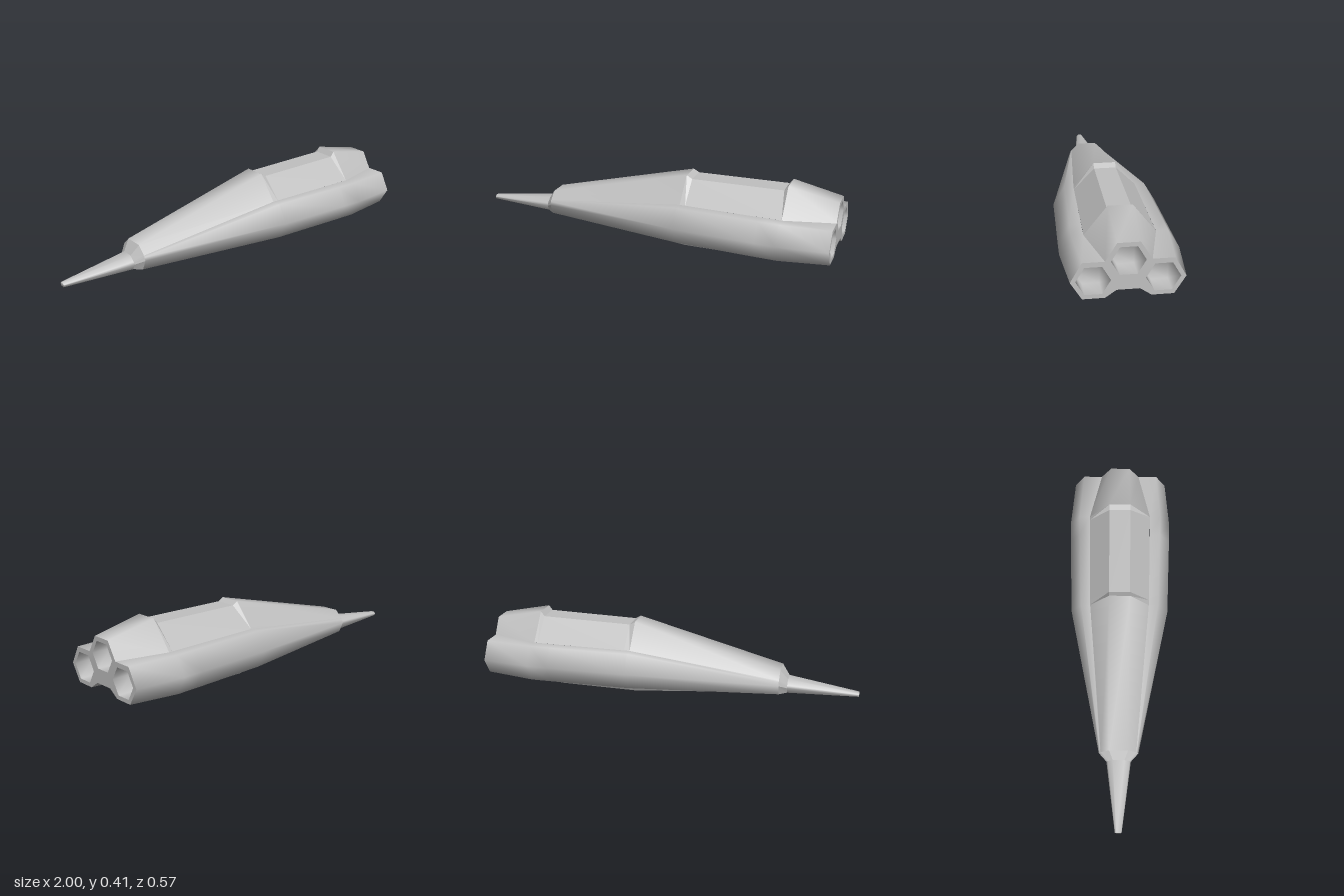
import * as THREE from 'three';

const hull = new THREE.MeshStandardMaterial({ color: 0xc0c0c0 });
hull.name = 'hull grey';

// Surface through cross-sections [x, [[z, y], ...]] that run along +x
function loft(name, sections, { flat = false, closed = false, capStart = false } = {}) {
  const n = sections[0][1].length, pos = [], idx = [];
  for (const [x, pts] of sections) for (const [z, y] of pts) pos.push(x, y, z);
  for (let i = 0; i < sections.length - 1; i++) {
    for (let j = 0; j < (closed ? n : n - 1); j++) {
      const k = (j + 1) % n, a = i * n + j, b = i * n + k;
      idx.push(a, b, b + n, a, b + n, a + n);
    }
  }
  if (capStart) for (let j = 1; j < n - 1; j++) idx.push(0, j + 1, j);
  let g = new THREE.BufferGeometry();
  g.setAttribute('position', new THREE.Float32BufferAttribute(pos, 3));
  g.setIndex(idx);
  if (flat) g = g.toNonIndexed();
  g.computeVertexNormals();
  const mesh = new THREE.Mesh(g, hull);
  mesh.name = name;
  return mesh;
}

const flip = pts => pts.map(([z, y]) => [-z, y]).reverse();

// Half sections: 0 ridge, 1 shoulder, 2 pod top, 3 pod side, 4 pod bottom, 5 keel root, 6 keel foot
const FRONT = [[.05, .19], [.093, .148], [.098, .14], [.105, .122], [.08, .066], [.06, .064], [.045, .062]];
const STATIONS = [
  [-.59, FRONT],
  [.2, [[.056, .39], [.16, .262], [.21, .262], [.266, .167], [.212, .07], [.11, .064], [.077, 0]]],
  [.63, [[.057, .4], [.168, .262], [.225, .262], [.281, .167], [.225, .068], [.112, .063], [.077, 0]]],
  [.74, [[.058, .405], [.17, .262], [.228, .262], [.284, .167], [.228, .068], [.112, .065], [.07, .035]]],
  [1, [[.052, .35], [.105, .262], [.207, .262], [.26, .167], [.207, .08], [.105, .08], [.052, .117]]],
];
const fullRing = half => [...flip(half).slice(-1), ...half, ...flip(half).slice(0, -1)];

const hexagon = (z, y, r) => Array.from({ length: 6 }, (_, i) => {
  const a = i * Math.PI / 3;
  return [z + r * Math.cos(a), y + r * Math.sin(a)];
});

// Hexagonal exhaust recess with a flat floor
function nozzle(z, y, r, depth) {
  const pos = [], idx = [];
  for (const x of [1, 1 - depth]) for (const [pz, py] of hexagon(z, y, r)) pos.push(x, py, pz);
  for (let j = 0; j < 6; j++) {
    const k = (j + 1) % 6;
    idx.push(j, j + 6, k + 6, j, k + 6, k);
  }
  idx.push(6, 10, 8, 6, 8, 7, 8, 10, 9, 10, 6, 11);
  const g = new THREE.BufferGeometry();
  g.setAttribute('position', new THREE.Float32BufferAttribute(pos, 3));
  g.setIndex(idx);
  g.computeVertexNormals();
  const mesh = new THREE.Mesh(g, hull);
  mesh.name = 'exhaustNozzle';
  return mesh;
}

export function createModel() {
  const model = new THREE.Group();
  model.name = 'spacecraft';

  // Nose spike and collar, scaled copies of the front section
  const shrink = (sz, sy, base) => fullRing(FRONT.map(([z, y]) => [z * sz, base + (y - .062) * sy]));
  const neck = shrink(.62, .56, .065);
  model.add(loft('noseSpike', [[-1, shrink(.17, .17, .069)], [-.63, neck]], { closed: true, capStart: true }));
  model.add(loft('noseCollar', [[-.63, neck], [-.59, fullRing(FRONT)]], { flat: true, closed: true }));

  // Side pods
  const pods = STATIONS.map(([x, s]) => [x, s.slice(1, 6)]);
  model.add(loft('leftPod', pods));
  model.add(loft('rightPod', pods.map(([x, s]) => [x, flip(s)])));

  // Keel with its rear ramp
  const keel = STATIONS.map(([x, s]) => [x, [...s.slice(5), ...flip(s.slice(5))]]);
  model.add(loft('keel', keel, { flat: true }));

  // Raised spine with a sunken middle section
  const spine = (x, ridge, shoulder) => [x, [...flip([ridge, shoulder]), ridge, shoulder]];
  const at = i => spine(STATIONS[i][0], ...STATIONS[i][1].slice(0, 2));
  const sunkFront = spine(.23, [.056, .373], [.161, .262]);
  const sunkRear = spine(.72, [.058, .379], [.169, .262]);
  model.add(loft('frontSpine', [at(0), at(1)]));
  model.add(loft('frontSpineStep', [at(1), sunkFront], { flat: true }));
  model.add(loft('sunkenSpine', [sunkFront, sunkRear], { flat: true }));
  model.add(loft('rearSpineStep', [sunkRear, at(3)], { flat: true }));
  model.add(loft('rearSpine', [at(3), at(4)]));

  // Rear plate pierced by three hexagonal nozzles
  const tail = STATIONS[4][1];
  const toVectors = pts => pts.map(([z, y]) => new THREE.Vector2(-z, y));
  const plate = new THREE.Shape(toVectors([...tail, ...flip(tail)]));
  for (const [z, y] of [[0, .26], [.157, .169], [-.157, .169]]) {
    plate.holes.push(new THREE.Path(toVectors(hexagon(z, y, .079))));
    model.add(nozzle(z, y, .079, .1));
  }
  const rear = new THREE.Mesh(new THREE.ShapeGeometry(plate).rotateY(Math.PI / 2), hull);
  rear.name = 'rearPlate';
  rear.position.x = 1;
  model.add(rear);

  return model;
}
